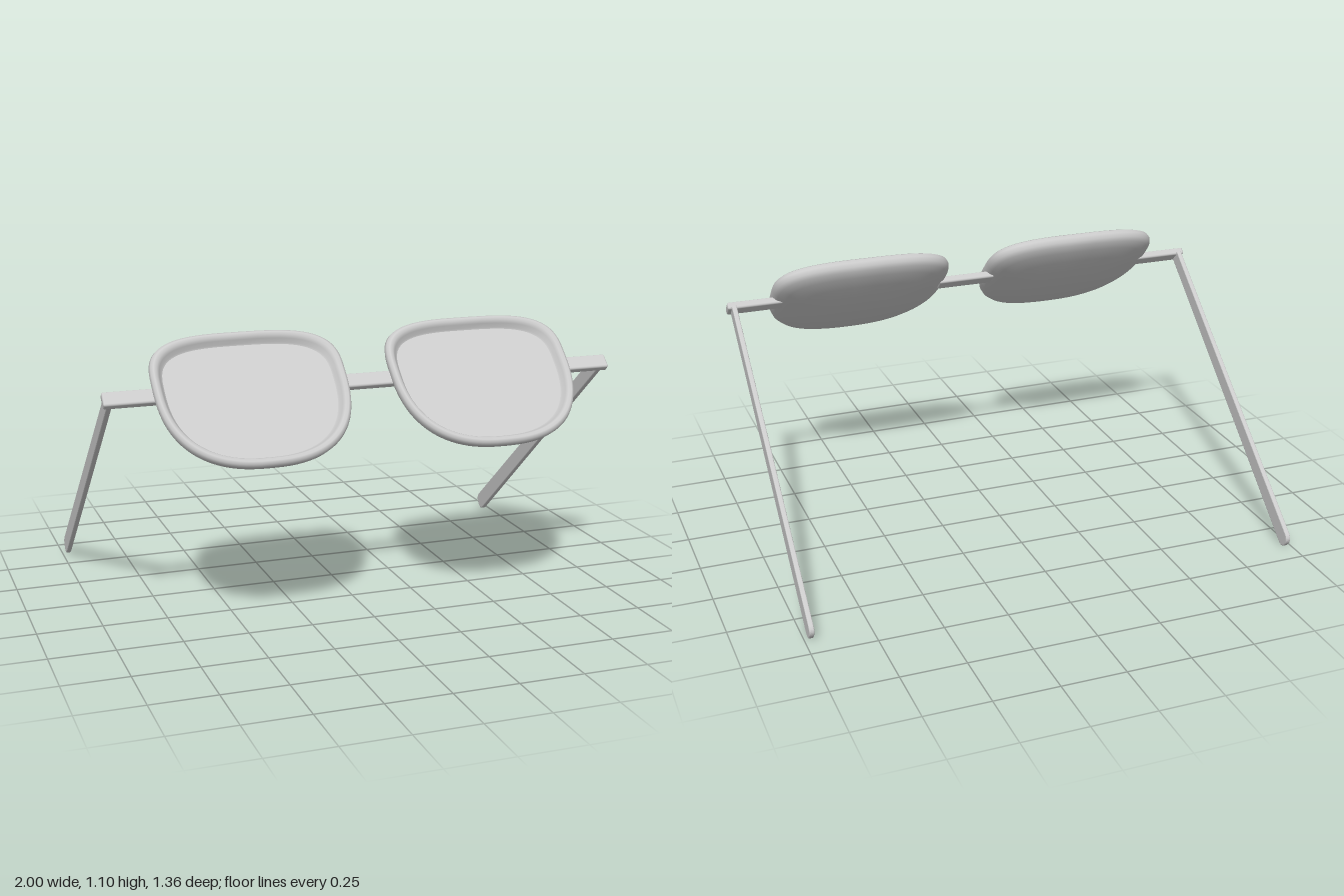
import * as THREE from 'three';
import { RoundedBoxGeometry } from 'three/addons/geometries/RoundedBoxGeometry.js';

const grey = new THREE.MeshStandardMaterial({ color: 0xcccccc });
const SEG = 96;
const HALF_W = 0.367, UPPER = 0.208, LOWER = 0.374, BELT = 0.027;

// Point on the frame outline: squarish top, rounder bottom, pulled in by inset
function outline(i, inset) {
  const a = (i / SEG) * Math.PI * 2;
  const c = Math.cos(a), s = Math.sin(a);
  const e = 2 / (s > 0 ? 3.3 : 2.5);
  const mid = BELT + (UPPER - LOWER) / 2, halfH = (UPPER + LOWER) / 2;
  const x = HALF_W * Math.sign(c) * Math.abs(c) ** e;
  const y = BELT + (s > 0 ? UPPER : LOWER) * Math.sign(s) * Math.abs(s) ** e;
  return [x * (1 - inset / HALF_W), mid + (y - mid) * (1 - inset / halfH)];
}

// Rim bead and domed back, lofted from rings of [inset, depth]
function shellGeometry() {
  const rings = [
    [0.05, 0.012], [0.042, 0.018], [0.035, 0.034], [0.026, 0.045], [0.014, 0.048],
    [0.004, 0.041], [0, 0.027], [0.005, 0.01], [0.018, -0.004], [0.05, -0.018],
    [0.11, -0.032], [0.18, -0.041], [0.24, -0.044], [0.285, -0.045],
  ];
  const pos = [], index = [];
  rings.forEach(([inset, z]) => {
    for (let i = 0; i < SEG; i++) pos.push(...outline(i, inset), z);
  });
  for (let r = 0; r < rings.length - 1; r++) {
    for (let i = 0; i < SEG; i++) {
      const j = (i + 1) % SEG;
      const a = r * SEG + i, b = r * SEG + j, c = a + SEG, d = b + SEG;
      index.push(a, c, b, b, c, d);
    }
  }
  // Close the middle of the back
  const centre = pos.length / 3, last = (rings.length - 1) * SEG;
  pos.push(0, BELT + (UPPER - LOWER) / 2, -0.045);
  for (let i = 0; i < SEG; i++) index.push(last + i, centre, last + ((i + 1) % SEG));
  const g = new THREE.BufferGeometry();
  g.setAttribute('position', new THREE.Float32BufferAttribute(pos, 3));
  g.setIndex(index);
  g.computeVertexNormals();
  return g;
}

// Flat front of the lens
function lensGeometry() {
  const pts = [];
  for (let i = 0; i < SEG; i++) pts.push(new THREE.Vector2(...outline(i, 0.047)));
  return new THREE.ShapeGeometry(new THREE.Shape(pts)).translate(0, 0, 0.014);
}

// Side arm: t runs backward and down, p across the arm
function templeGeometry() {
  const bevel = 0.005;
  const at = (t, p) => [-0.769 * t + 0.64 * p, -0.64 * t - 0.769 * p];
  const s = new THREE.Shape();
  s.moveTo(...at(-0.88, -0.474));
  s.lineTo(...at(0.465, -0.474));
  s.quadraticCurveTo(...at(0.49, -0.474), ...at(0.493, -0.45));
  s.lineTo(...at(0.493, -0.432));
  s.quadraticCurveTo(...at(0.49, -0.412), ...at(0.465, -0.412));
  s.lineTo(...at(-0.88, -0.425));
  s.closePath();
  const g = new THREE.ExtrudeGeometry(s, {
    depth: 0.01, bevelEnabled: true, bevelSize: bevel, bevelThickness: bevel,
    bevelSegments: 3, curveSegments: 8,
  });
  return g.translate(0, 0, -0.005).rotateY(-Math.PI / 2);
}

export function createModel() {
  const model = new THREE.Group();
  model.name = 'eyeglasses';
  const add = (parent, name, geometry, x = 0) => {
    const mesh = new THREE.Mesh(geometry, grey);
    mesh.name = name;
    mesh.position.x = x;
    parent.add(mesh);
    return mesh;
  };

  // Front frame, leaning back
  const front = new THREE.Group();
  front.name = 'frontFrame';
  front.position.set(0, 0.912, 0.405);
  front.rotation.x = -0.811;
  model.add(front);

  const shell = shellGeometry(), lens = lensGeometry(), temple = templeGeometry();
  const bar = (w) => new RoundedBoxGeometry(w, 0.06, 0.03, 3, 0.008);
  add(front, 'bridge', bar(0.24));
  for (const [side, sx] of [['left', 1], ['right', -1]]) {
    add(front, side + 'Rim', shell, sx * 0.4535);
    add(front, side + 'Lens', lens, sx * 0.4535);
    add(front, side + 'EndPiece', bar(0.23), sx * 0.885);
    add(model, side + 'Temple', temple, sx * 0.975);
  }
  return model;
}
